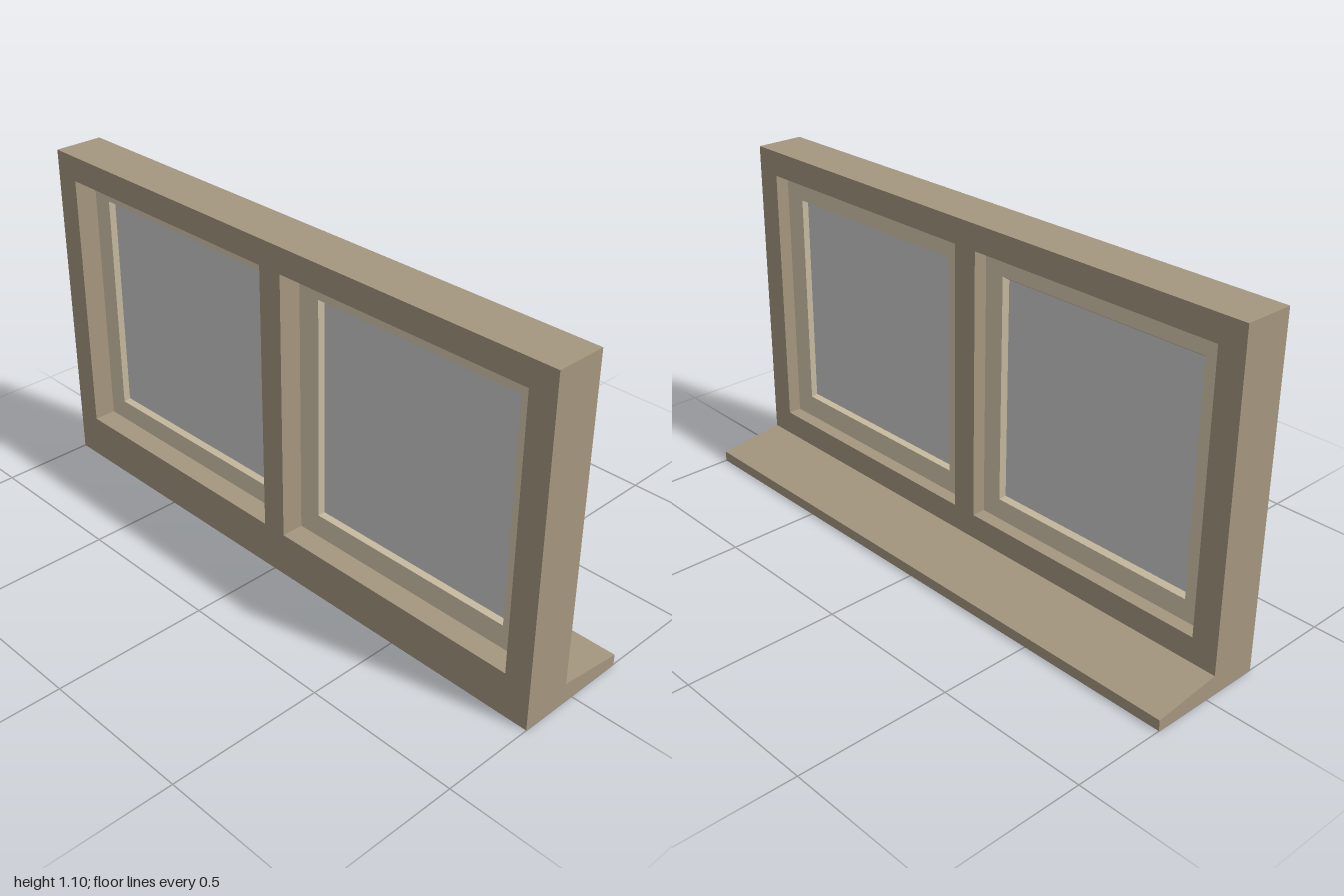
import * as THREE from 'three';

const OPENING = { x0: 0.042, x1: 0.915, y0: 0.145, y1: 1.018 };
const frameMat = new THREE.MeshStandardMaterial({ color: 0xa59780 });
const sashMat = new THREE.MeshStandardMaterial({ color: 0xd6c8ac });
const glassMat = new THREE.MeshStandardMaterial({ color: 0xcccccc });

function part(name, geometry, material) {
  const mesh = new THREE.Mesh(geometry, material);
  mesh.name = name;
  return mesh;
}

// Rectangle corners, counter-clockwise from the front
const corners = (x0, y0, x1, y1) => [[x0, y0], [x1, y0], [x1, y1], [x0, y1]];
const toPoints = (list) => list.map(([x, y]) => new THREE.Vector2(x, y));

// Mitred rectangular ring: profile is a closed loop of [inset, z]
function mitredRing(x0, y0, x1, y1, profile) {
  const pos = [];
  const rings = profile.map(([d, z]) =>
    corners(x0 + d, y0 + d, x1 - d, y1 - d).map(([x, y]) => [x, y, z]));
  rings.forEach((a, i) => {
    const b = rings[(i + 1) % rings.length];
    for (let k = 0; k < 4; k++) {
      const n = (k + 1) % 4;
      pos.push(...a[k], ...a[n], ...b[n], ...a[k], ...b[n], ...b[k]);
    }
  });
  const geo = new THREE.BufferGeometry();
  geo.setAttribute('position', new THREE.Float32BufferAttribute(pos, 3));
  geo.computeVertexNormals();
  return geo;
}

export function createModel() {
  const group = new THREE.Group();
  group.name = 'doubleWindow';

  // Outer frame with two openings and a central mullion
  const { x0, x1, y0, y1 } = OPENING;
  const outline = new THREE.Shape(toPoints(corners(-1, 0, 1, 1.1)));
  for (const [a, b] of [[-x1, -x0], [x0, x1]]) {
    outline.holes.push(new THREE.Path(toPoints(corners(a, y0, b, y1))));
  }
  const frame = new THREE.ExtrudeGeometry(outline, { depth: 0.163, bevelEnabled: false });
  frame.translate(0, 0, 0.031);
  group.add(part('frame', frame, frameMat));

  // Sloping sill at the back, drawn in (-z, y) and swept along x
  const sillShape = new THREE.Shape(toPoints([[-0.031, 0], [0.194, 0], [0.194, 0.035], [-0.031, 0.063]]));
  const sill = new THREE.ExtrudeGeometry(sillShape, { depth: 2, bevelEnabled: false });
  sill.rotateY(Math.PI / 2);
  sill.translate(-1, 0, 0);
  group.add(part('sill', sill, frameMat));

  // Sashes with splayed inner edges, each holding a pane
  for (const [side, a, b, inset, splay] of [
    ['right', -x1, -x0, 0.069, 0.011],
    ['left', x0, x1, 0.076, 0.009],
  ]) {
    const edge = inset + splay;
    const profile = [[0, 0.12], [inset, 0.12], [edge, 0.104], [edge, 0.092], [inset, 0.076], [0, 0.076]];
    group.add(part(side + 'Sash', mitredRing(a, y0, b, y1, profile), sashMat));

    const pane = new THREE.BoxGeometry(b - a - 2 * edge, y1 - y0 - 2 * edge, 0.012);
    pane.translate((a + b) / 2, (y0 + y1) / 2, 0.098);
    group.add(part(side + 'Glass', pane, glassMat));
  }
  return group;
}
